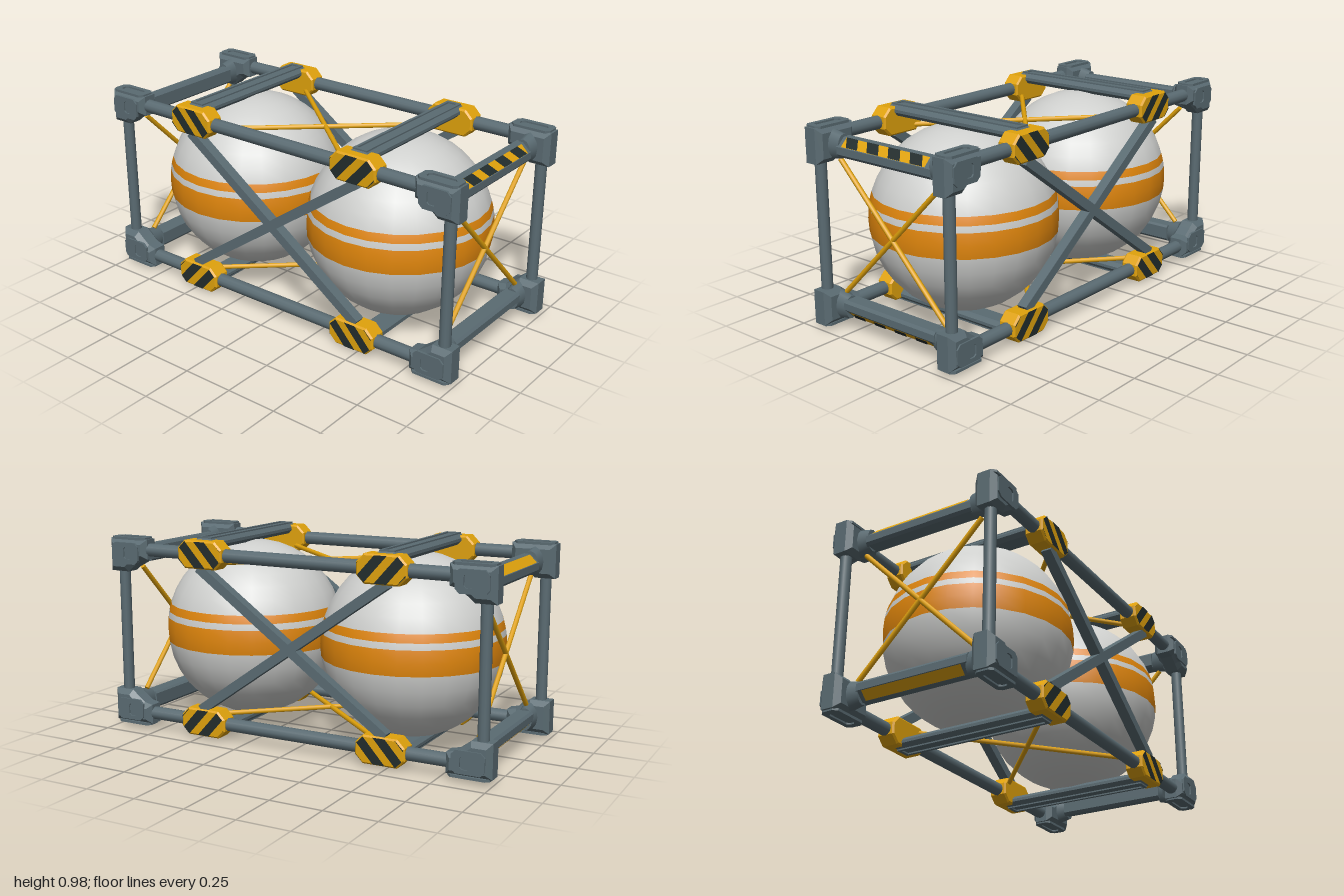
import * as THREE from 'three';

const mat = (name, color, side = THREE.FrontSide) => {
  const m = new THREE.MeshStandardMaterial({ color, side });
  m.name = name;
  return m;
};
const MID = 0.4875; // height of the frame's centre

// Outline helpers: corner-cut rectangle, shape from points
const chamfer = (x0, y0, x1, y1, c) => [
  [x0 + c, y0], [x1 - c, y0], [x1, y0 + c], [x1, y1 - c],
  [x1 - c, y1], [x0 + c, y1], [x0, y1 - c], [x0, y0 + c]];
const toShape = (pts, hole) => {
  const s = new THREE.Shape(pts.map(p => new THREE.Vector2(...p)));
  if (hole) s.holes.push(new THREE.Path(hole.map(p => new THREE.Vector2(...p))));
  return s;
};

// Solid of a given thickness with cut edges, outline kept as its widest section
function solid(pts, depth, bevel = 0, hole) {
  const g = new THREE.ExtrudeGeometry(toShape(pts, hole), {
    depth: depth - 2 * bevel, bevelEnabled: bevel > 0, bevelSize: bevel,
    bevelThickness: bevel, bevelOffset: -bevel, bevelSegments: 1 });
  return g.translate(0, 0, bevel);
}
// Outline in (-z, y), thickness along +x
const alongX = (g, x) => g.rotateY(Math.PI / 2).translate(x, 0, 0);
// Outline in (x, -z), thickness along +y
const alongY = (g, y) => g.rotateX(-Math.PI / 2).translate(0, y, 0);

// Diagonal bands cut from a convex outline
function bands(pts, period, slant, shift = 0) {
  const clip = (poly, f) => poly.flatMap((p, i) => {
    const q = poly[(i + 1) % poly.length], a = f(p), b = f(q), out = [];
    if (a >= 0) out.push(p);
    if (a * b < 0) out.push([p[0] + (q[0] - p[0]) * a / (a - b), p[1] + (q[1] - p[1]) * a / (a - b)]);
    return out;
  });
  const shapes = [];
  for (let k = -20; k <= 20; k++) {
    const lo = k * period + shift, hi = lo + period * 0.55;
    const u = p => p[0] + slant * p[1];
    const piece = clip(clip(pts, p => u(p) - lo), p => hi - u(p));
    if (piece.length > 2) shapes.push(toShape(piece));
  }
  return new THREE.ShapeGeometry(shapes);
}

// Round bar between two points
function rod(a, b, r, sides = 8) {
  const A = new THREE.Vector3(...a), B = new THREE.Vector3(...b), d = B.clone().sub(A);
  const q = new THREE.Quaternion().setFromUnitVectors(new THREE.Vector3(0, 1, 0), d.clone().normalize());
  const g = new THREE.CylinderGeometry(r, r, d.length(), sides).applyQuaternion(q);
  return g.translate(...A.add(B).multiplyScalar(0.5).toArray());
}

// Reflected copy about the frame's centre, faces kept outward
function reflect(geo, sx, sy, sz) {
  const g = geo.clone();
  g.translate(0, -MID, 0).scale(sx, sy, sz).translate(0, MID, 0);
  if (sx * sy * sz < 0) {
    const idx = g.index ? Array.from(g.index.array) : Array.from({ length: g.attributes.position.count }, (_, i) => i);
    g.setIndex(idx.reverse());
  }
  return g;
}

export function createModel() {
  const model = new THREE.Group();
  model.name = 'tankFrame';
  const slate = mat('slate', 0x5a6b72);
  const yellow = mat('yellow', 0xe0a20c);
  const orange = mat('orange', 0xe0860c);
  const pale = mat('paleGrey', 0xcfd0ce);
  const black = mat('black', 0x222c2c);

  const add = (name, geo, material) => {
    const m = new THREE.Mesh(geo, material);
    m.name = name;
    model.add(m);
  };
  // Repeat a part over the mirrored axes listed in 'axes'
  const addMirrored = (name, geo, material, axes) => {
    const signs = a => (axes.includes(a) ? [1, -1] : [1]);
    for (const sx of signs('x')) for (const sy of signs('y')) for (const sz of signs('z'))
      add(name, reflect(geo, sx, sy, sz), material);
  };

  // Corner blocks with slotted caps on the top and outer faces
  const corner = [[-1, 0.785], [-0.9, 0.785], [-0.87, 0.81], [-0.83, 0.84], [-0.785, 0.85], [-0.785, 0.947], [-1, 0.947]];
  addMirrored('cornerBlock', alongX(solid(corner, 0.11, 0.024), 0.327), slate, 'xyz');
  addMirrored('cornerTopCap', alongY(solid(chamfer(0.341, -0.99, 0.43, -0.795, 0.018), 0.012, 0,
    chamfer(0.364, -0.96, 0.407, -0.825, 0.012)), 0.943), slate, 'xyz');
  addMirrored('cornerSideCap', alongX(solid(chamfer(-0.975, 0.825, -0.82, 0.93, 0.02), 0.012, 0,
    chamfer(-0.905, 0.85, -0.86, 0.91, 0.01)), 0.432), slate, 'xyz');

  // Main tubes
  addMirrored('cornerPost', rod([0.385, 0.15, 0.945], [0.385, 0.83, 0.945], 0.027, 12), slate, 'xz');
  addMirrored('longRail', rod([0.387, 0.895, -0.85], [0.387, 0.895, 0.85], 0.032, 12), slate, 'xy');

  // End bars with their sockets
  const endBar = [[-0.932, 0.822], [-0.868, 0.822], [-0.858, 0.832], [-0.858, 0.895], [-0.868, 0.907],
    [-0.903, 0.907], [-0.943, 0.868], [-0.943, 0.835]];
  addMirrored('endBar', alongX(solid(endBar, 0.56), -0.28), slate, 'yz');
  const socket = new THREE.CylinderGeometry(0.07, 0.055, 0.07, 12).rotateZ(-Math.PI / 2);
  addMirrored('endBarSocket', socket.scale(1, 1, 0.68).translate(0.307, 0.865, 0.903), slate, 'xyz');

  // Sloped warning plates on the end bars
  const tilt = (g, lift) => g.rotateX(-Math.PI / 4).translate(0, 0.8875 + lift, 0.923 + lift);
  const plate = [[-0.25, -0.025], [0.25, -0.025], [0.25, 0.025], [-0.25, 0.025]];
  addMirrored('endPlate', tilt(new THREE.ShapeGeometry(toShape(plate)), 0.002), yellow, 'yz');
  addMirrored('endPlateStripe', tilt(bands(plate, 0.128, 0.6, 0.025), 0.004), black, 'y');

  // Clamps on the long rails, striped on the outside
  const clamp = chamfer(-0.595, 0.828, -0.35, 0.962, 0.038);
  addMirrored('railClamp', alongX(solid(clamp, 0.09, 0.008), 0.34), yellow, 'xyz');
  const face = chamfer(-0.59, 0.833, -0.355, 0.957, 0.038);
  addMirrored('clampStripe', alongX(bands(face, 0.11, 0.9, 0.03), 0.432), black, 'xyz');

  // Cross beams over and under the tanks, with a recessed outer face
  addMirrored('crossBeam', alongY(solid([[-0.395, -0.53], [0.395, -0.53], [0.395, -0.42], [-0.395, -0.42]],
    0.05, 0.018), 0.918), slate, 'yz');
  addMirrored('crossBeamRim', alongY(solid([[-0.377, -0.512], [0.377, -0.512], [0.377, -0.438], [-0.377, -0.438]],
    0.009, 0, [[-0.36, -0.498], [0.36, -0.498], [0.36, -0.452], [-0.36, -0.452]]), 0.966), slate, 'yz');

  // Square side braces
  const dz = 0.49, dy = 0.345, len = 2 * Math.hypot(dz, dy);
  for (const s of [1, -1]) {
    const brace = new THREE.BoxGeometry(0.05, 0.045, len)
      .rotateX(s * Math.atan2(dy, dz)).translate(0.395, MID, 0);
    addMirrored('sideBrace', brace, slate, 'x');
  }

  // Thin yellow tie rods on the ends, top and bottom
  for (const s of [1, -1]) {
    addMirrored('endTieRod', rod([-0.31 * s, 0.175, 0.895], [0.31 * s, 0.8, 0.895], 0.012), yellow, 'z');
    addMirrored('deckTieRod', rod([-0.35 * s, 0.855, -0.4], [0.35 * s, 0.855, 0.4], 0.012), yellow, 'y');
  }

  // Two spherical tanks, split into painted bands from top to bottom
  const R = 0.438;
  const cuts = [MID + R, 0.617, 0.578, 0.548, 0.43, MID - R];
  const angle = y => Math.acos(THREE.MathUtils.clamp((y - MID) / R, -1, 1));
  for (const z of [-0.438, 0.438]) {
    for (let i = 0; i < 5; i++) {
      const a = angle(cuts[i]), b = angle(cuts[i + 1]);
      const g = new THREE.SphereGeometry(R, 24, Math.ceil((b - a) / 0.18), 0, Math.PI * 2, a, b - a);
      add(i % 2 ? 'tankBand' : 'tankShell', g.translate(0, MID, z), i % 2 ? orange : pale);
    }
  }
  return model;
}
